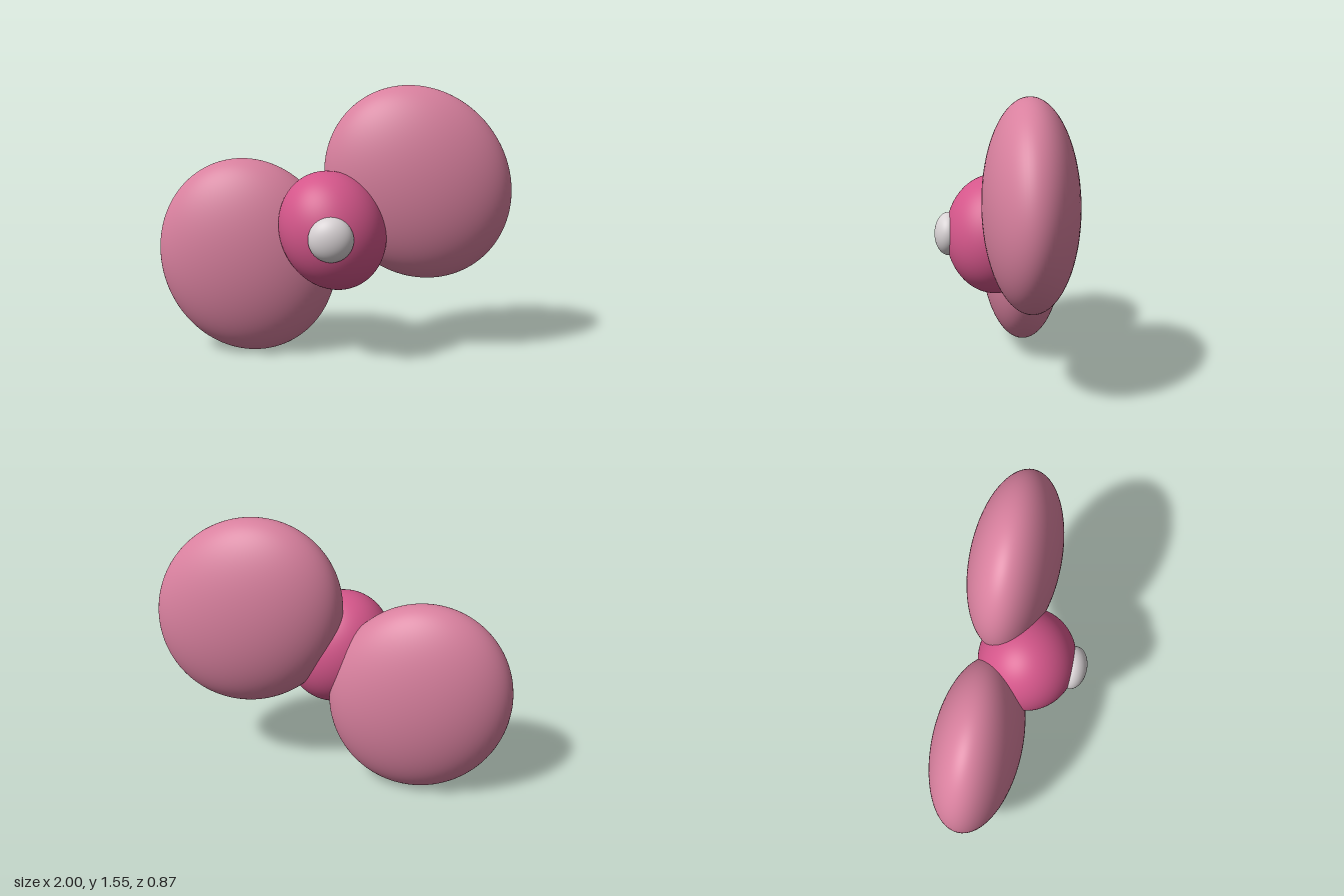
import * as THREE from 'three';

const material = (name, color) => {
  const m = new THREE.MeshStandardMaterial({ color });
  m.name = name;
  return m;
};

export function createModel() {
  const group = new THREE.Group();
  const palePink = material('pale pink', 0xd8809e);
  const deepPink = material('deep pink', 0xd4568a);
  const paleGrey = material('pale grey', 0xd8d2d4);
  const sphere = new THREE.SphereGeometry(1, 80, 56);
  const turn = -0.17; // every part shares the same turn about y

  function ellipsoid(name, mat, position, radii, roll) {
    const mesh = new THREE.Mesh(sphere, mat);
    mesh.name = name;
    mesh.position.set(...position);
    mesh.scale.set(...radii);
    mesh.rotation.set(0, turn, roll);
    group.add(mesh);
  }

  // Two matching flattened lobes, one raised and one lowered
  const lobe = [0.511, 0.571, 0.255];
  ellipsoid('leftLobe', palePink, [0.467, 1.006, 0.003], lobe, 0.62);
  ellipsoid('rightLobe', palePink, [-0.493, 0.573, -0.17], lobe, 0.25);

  // Central body and the button on its front
  ellipsoid('body', deepPink, [-0.032, 0.76, 0.09], [0.295, 0.341, 0.28], 0.4);
  ellipsoid('button', paleGrey, [-0.073, 0.762, 0.35], [0.123, 0.123, 0.081], 0);

  return group;
}
